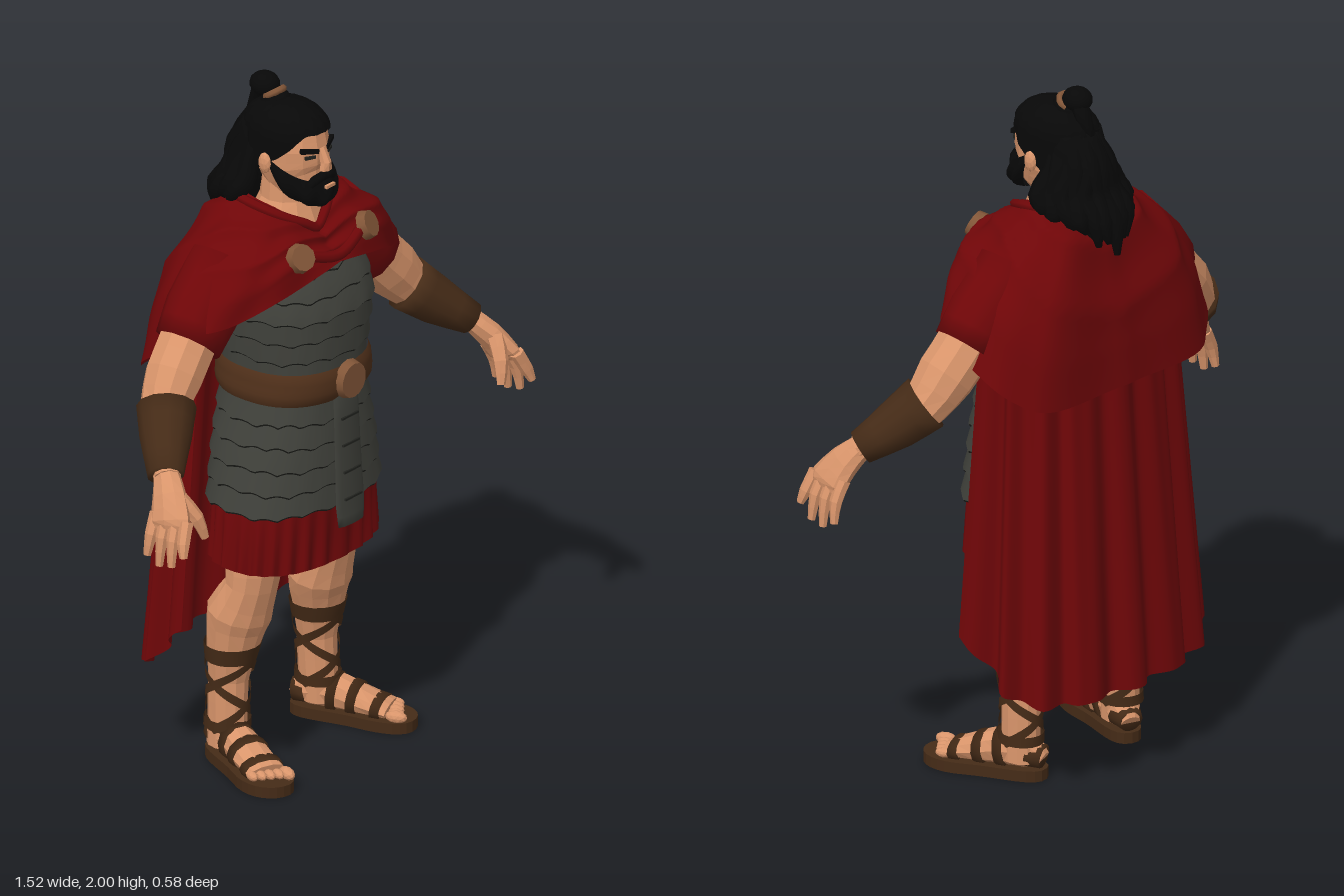
import * as THREE from 'three';
import { mergeVertices } from 'three/addons/utils/BufferGeometryUtils.js';

const V = (x, y, z) => new THREE.Vector3(x, y, z);
const { lerp } = THREE.MathUtils;
const TAU = Math.PI * 2;

function paint(name, color, side = THREE.FrontSide) {
  const m = new THREE.MeshStandardMaterial({ color, side });
  m.name = name;
  return m;
}

// Surface from fn(u, v): u runs to the right, v runs down, seen from outside
function surface(fn, nu, nv) {
  const pos = [], idx = [];
  for (let j = 0; j <= nv; j++) for (let i = 0; i <= nu; i++) pos.push(...fn(i / nu, j / nv).toArray());
  for (let j = 0; j < nv; j++) for (let i = 0; i < nu; i++) {
    const a = j * (nu + 1) + i, c = a + nu + 1;
    idx.push(a, c, a + 1, a + 1, c, c + 1);
  }
  let g = new THREE.BufferGeometry();
  g.setAttribute('position', new THREE.Float32BufferAttribute(pos, 3));
  g.setIndex(idx);
  g = mergeVertices(g, 1e-5);
  g.computeVertexNormals();
  return g;
}

// Capped elliptical tube through [x, y, z, radiusA, radiusB] stations
function tube(pts, sides = 10, sub = 2, ref = V(0, 0, 1)) {
  const curve = new THREE.CatmullRomCurve3(pts.map(p => V(p[0], p[1], p[2])));
  const n = pts.length - 1, rows = n * sub + 2;
  return surface((u, v) => {
    const j = Math.round(v * rows), t = THREE.MathUtils.clamp((j - 1) / (rows - 2), 0, 1);
    const k = Math.min(Math.floor(t * n), n - 1), f = t * n - k;
    const T = curve.getTangent(t), S = ref.clone().cross(T).normalize(), B = S.clone().cross(T);
    const open = j === 0 || j === rows ? 0 : 1, a = u * TAU;
    return curve.getPoint(t)
      .addScaledVector(S, open * Math.cos(a) * lerp(pts[k][3], pts[k + 1][3], f))
      .addScaledVector(B, open * Math.sin(a) * lerp(pts[k][4], pts[k + 1][4], f));
  }, sides, rows);
}

// Body outline: [y, half width, front z, back z]
const BODY = [
  [1.55, .15, .15, -.1], [1.46, .205, .215, -.13], [1.38, .215, .245, -.14], [1.28, .2, .238, -.13],
  [1.17, .182, .228, -.12], [1.08, .2, .23, -.125], [.95, .232, .235, -.13], [.78, .262, .238, -.13], [.6, .272, .235, -.13],
];
function bodyPoint(a, y, out = 0) {
  let k = 0;
  while (k < BODY.length - 2 && y < BODY[k + 1][0]) k++;
  const p = BODY[k], q = BODY[k + 1], f = (p[0] - y) / (p[0] - q[0]);
  const rx = lerp(p[1], q[1], f) + out, zf = lerp(p[2], q[2], f) + out, zb = lerp(p[3], q[3], f) - out;
  const soft = s => Math.sign(s) * Math.abs(s) ** .85;
  return V(rx * soft(Math.sin(a)), y, (zf + zb) / 2 + (zf - zb) / 2 * soft(Math.cos(a)));
}

export function createModel() {
  const skin = paint('skin', 0xd9956b);
  const red = paint('red cloth', 0x6f0608, THREE.DoubleSide);
  const hair = paint('black hair', 0x080808, THREE.DoubleSide);
  const armour = paint('grey scale armour', 0x3f403a, THREE.DoubleSide);
  const ink = paint('dark line', 0x22231f, THREE.DoubleSide);
  const belt = paint('belt leather', 0x50301a);
  const leather = paint('dark leather', 0x452b17, THREE.DoubleSide);
  const bronze = paint('bronze', 0x825638);

  const model = new THREE.Group();
  model.name = 'cloakedWarrior';
  const add = (name, geo, mat, mirrored = false) => {
    const g = geo.index ? geo : mergeVertices(geo);
    const put = (h, label) => {
      if (mat === skin) { h = h.toNonIndexed(); h.computeVertexNormals(); }
      const mesh = new THREE.Mesh(h, mat);
      mesh.name = label;
      model.add(mesh);
    };
    if (!mirrored) return put(g, name);
    const r = g.clone().applyMatrix4(new THREE.Matrix4().makeScale(-1, 1, 1));
    const ix = r.index.array;
    for (let i = 0; i < ix.length; i += 3) [ix[i], ix[i + 1]] = [ix[i + 1], ix[i]];
    put(g, name + 'Left');
    put(r, name + 'Right');
  };

  // Scale armour in overlapping rows with scalloped hems and a dark line below each
  const scaleRows = (name, top, bottom, count, scallops) => {
    const h = (top - bottom) / count;
    for (let r = 0; r < count; r++) {
      const y0 = top - r * h;
      const hem = a => y0 - h - .006 + .01 * Math.abs(Math.sin(a * scallops / 2 + r * 1.3)) + .003 * Math.sin(a * 5 + r);
      add(name, surface((u, v) => bodyPoint(u * TAU, lerp(y0, hem(u * TAU), v), .002 + .01 * v), 96, 2), armour);
      add(name + 'Line', surface((u, v) => bodyPoint(u * TAU, hem(u * TAU) - .006 * v, .012 - .005 * v), 96, 1), ink);
    }
  };
  scaleRows('chestScales', 1.55, 1.18, 6, 16);
  scaleRows('hipScales', 1.12, .795, 5, 18);
  add('hipFlap', tube([[0, 1.12, .238, .052, .012], [0, .95, .246, .055, .012], [0, .79, .254, .06, .012], [0, .73, .258, .054, .012]], 8), armour);
  for (const y of [1.05, .97, .89, .81]) add('hipFlapLine', new THREE.BoxGeometry(.07, .006, .006).translate(0, y, .27 - (y - .73) * .05), ink);
  add('belt', surface((u, v) => bodyPoint(u * TAU, 1.205 - .095 * v, .012 + .014 * Math.sin(Math.PI * v) ** .5), 40, 6), belt);
  add('buckle', new THREE.CylinderGeometry(.05, .057, .025, 14).rotateX(Math.PI / 2).translate(0, 1.16, .257), bronze);

  // Pleated tunic skirt
  add('tunicSkirt', surface((u, v) => {
    const a = u * TAU;
    return bodyPoint(a, .84 - .225 * v + .006 * Math.cos(a * 26), -.008 + .01 * v * Math.cos(a * 26));
  }, 156, 3), red);

  // Mantle: profiles from neck to hem at seven directions, front to back
  const mantleKeys = [
    [[0, 1.59, .13], [0, 1.56, .165], [0, 1.53, .195], [0, 1.505, .22]],
    [[.06, 1.625, .11], [.1, 1.6, .15], [.15, 1.555, .19], [.2, 1.465, .2]],
    [[.1, 1.66, .07], [.19, 1.61, .115], [.29, 1.53, .14], [.36, 1.4, .115]],
    [[.12, 1.68, .02], [.22, 1.625, .01], [.34, 1.53, .015], [.455, 1.37, .015]],
    [[.11, 1.69, -.04], [.22, 1.615, -.07], [.345, 1.475, -.1], [.42, 1.26, -.12]],
    [[.07, 1.69, -.08], [.16, 1.6, -.15], [.27, 1.42, -.2], [.325, 1.18, -.215]],
    [[0, 1.69, -.1], [0, 1.59, -.16], [0, 1.4, -.215], [0, 1.17, -.24]],
  ];
  const columns = [0, 1, 2, 3].map(c => new THREE.CatmullRomCurve3(mantleKeys.map(k => V(...k[c]))));
  const mantlePoint = (u, v) => {
    const t = u < .5 ? 2 * u : 2 - 2 * u;
    const p = new THREE.CatmullRomCurve3(columns.map(c => c.getPoint(t))).getPoint(v);
    const crease = 1 - 2 * Math.abs(Math.sin(v * 10 - t * 7));
    const fold = .009 * crease * Math.sin(Math.PI * Math.min(v * 1.2, 1)) + .005 * v * Math.sin(t * 38);
    p.addScaledVector(V(p.x, .12, p.z).normalize(), fold);
    if (u > .5) p.x *= -1;
    return p;
  };
  add('mantle', surface(mantlePoint, 110, 36), red);
  const collar = [];
  for (let i = 0; i < 20; i++) collar.push(mantlePoint(i / 20, .06));
  add('collarRoll', new THREE.TubeGeometry(new THREE.CatmullRomCurve3(collar, true), 60, .014, 7, true), red);
  const drape = new THREE.CatmullRomCurve3([V(-.14, 1.56, .19), V(0, 1.525, .215), V(.14, 1.56, .19)]);
  add('collarDrape', new THREE.TubeGeometry(drape, 16, .016, 7), red);
  add('shoulderClasp', new THREE.CylinderGeometry(.037, .043, .025, 10).rotateX(Math.PI / 2 - .45).rotateY(.3).translate(.143, 1.56, .2), bronze, true);

  // Long cape with deep folds, open in front
  add('cape', surface((u, v) => {
    const t = 1 - 2 * u, a = t * 1.6, y = lerp(1.42, .28 + .21 * Math.abs(t) ** 5, v);
    const f = 1 + .02 * Math.cos(t * 40) + (.03 + .03 * v) * Math.cos(t * 25 + .6 * Math.sin(t * 9));
    const s = Math.sin(a), c = Math.max(Math.cos(a), 0);
    return V(lerp(.32, .396, v) * Math.sign(s) * Math.abs(s) ** .85 * f, y, -lerp(.195, .27, v) * c ** .65 * f);
  }, 140, 14), red);

  // Legs
  const legPath = [[.14, .84, .04, .1, .1], [.16, .62, .045, .088, .08], [.168, .545, .045, .084, .068], [.173, .45, .005, .1, .088],
    [.183, .36, -.01, .077, .074], [.19, .25, -.02, .055, .057], [.195, .12, -.02, .05, .058], [.197, .05, -.02, .05, .06]];
  add('leg', tube(legPath, 12), skin, true);

  // Sandal straps winding round the shin
  const shin = (a, y, out) => {
    const k = legPath.findIndex(p => p[1] <= y), p = legPath[k - 1], q = legPath[k];
    const f = (p[1] - y) / (p[1] - q[1]), m = i => lerp(p[i], q[i], f);
    return V(m(0) + (m(3) + out) * Math.sin(a), y, m(2) + (m(4) + out) * Math.cos(a));
  };
  add('shinCuff', surface((u, v) => shin(u * TAU, .36 - .05 * v, .006), 18, 2), leather, true);
  add('ankleCuff', surface((u, v) => shin(u * TAU, .135 - .03 * v, .011), 18, 2), leather, true);
  for (const dir of [1, -1]) for (const start of [0, Math.PI]) {
    add('shinStrap', surface((u, v) => shin(start + dir * u * TAU * .75, .325 - .2 * u - .029 * v, .007), 36, 1), leather, true);
  }

  // Feet and sandals, turned outward
  const foot = (name, g, mat) => add(name, g.rotateY(.35).translate(.202, 0, 0), mat, true);
  const sole = new THREE.Shape();
  sole.moveTo(0, -.1);
  sole.bezierCurveTo(.07, -.1, .045, .02, .066, .12);
  sole.bezierCurveTo(.085, .2, .05, .268, -.01, .268);
  sole.bezierCurveTo(-.078, .268, -.073, .18, -.062, .12);
  sole.bezierCurveTo(-.04, .02, -.07, -.1, 0, -.1);
  foot('sole', new THREE.ExtrudeGeometry(sole, { depth: .032, bevelEnabled: false, curveSegments: 8 }).rotateX(Math.PI / 2).translate(0, .032, 0), leather);
  const up = V(0, 1, 0);
  foot('foot', tube([[0, .055, -.088, .03, .025], [0, .075, -.05, .046, .05], [0, .078, .03, .048, .055], [0, .064, .1, .056, .04], [0, .047, .19, .058, .02]], 10, 2, up), skin);
  for (let i = 0; i < 5; i++) {
    const r = i === 0 ? .02 : .015;
    foot('toe', new THREE.IcosahedronGeometry(r, 1).scale(.9, .9, 1.6).translate(-.046 + i * .023, .045, .222 - i * .008), skin);
  }
  for (const [y, z, a, b] of [[.077, .03, .054, .061], [.067, .09, .061, .049], [.052, .16, .063, .033]]) {
    foot('footStrap', tube([[0, y, z - .013, a, b], [0, y - .003, z + .013, a, b - .004]], 12, 1, up), leather);
  }
  foot('heelStrap', tube([[0, .065, -.09, .036, .034], [0, .07, -.05, .05, .036]], 12, 1, up), leather);

  // Arms, sleeves and bracers
  add('arm', tube([[.27, 1.5, -.01, .08, .08], [.38, 1.35, 0, .086, .082], [.46, 1.265, .01, .085, .082], [.53, 1.185, .03, .064, .068], [.6, 1.12, .09, .05, .05], [.66, 1.07, .15, .034, .038]], 10), skin, true);
  add('sleeve', tube([[.22, 1.52, -.01, .1, .1], [.32, 1.41, -.005, .11, .103], [.39, 1.33, 0, .1, .092]], 12), red, true);
  add('bracer', tube([[.518, 1.197, .03, .08, .084], [.58, 1.138, .078, .069, .073], [.658, 1.073, .142, .046, .052]], 12), leather, true);

  // Hands
  add('palm', tube([[.65, 1.08, .137, .032, .036], [.685, 1.03, .177, .034, .052], [.715, .975, .205, .03, .066], [.722, .955, .21, .02, .06]], 9), skin, true);
  for (let i = 0; i < 4; i++) {
    const z = .26 - i * .035, end = [.895, .858, .85, .87][i];
    add('finger', tube([[.71, .985, z, .021, .02], [.738, .93, z + .012 - i * .003, .019, .018], [.75, end, z + .022 - i * .008, .011, .011]], 7), skin, true);
  }
  add('thumb', tube([[.68, 1.03, .21, .024, .026], [.655, .975, .25, .021, .021], [.637, .915, .265, .012, .012]], 7), skin, true);

  // Neck and head
  add('neck', tube([[0, 1.74, .03, .07, .07], [0, 1.66, .03, .075, .075], [0, 1.6, .03, .11, .1], [0, 1.53, .03, .16, .12]], 12), skin);
  add('head', tube([[0, 1.91, .045, .045, .05], [0, 1.875, .045, .082, .105], [0, 1.82, .047, .093, .113], [0, 1.76, .052, .09, .108], [0, 1.7, .075, .068, .08], [0, 1.67, .085, .04, .05]], 14), skin);
  add('nose', tube([[0, 1.83, .152, .012, .012], [0, 1.79, .168, .015, .017], [0, 1.768, .168, .02, .015]], 7, 1), skin);
  add('ear', new THREE.IcosahedronGeometry(.028, 1).scale(.45, 1.1, .75).translate(.1, 1.785, .035), skin, true);
  add('eye', new THREE.BoxGeometry(.032, .009, .009).rotateY(.4).translate(.04, 1.811, .146), ink, true);
  add('brow', new THREE.BoxGeometry(.055, .013, .012).rotateZ(.16).rotateY(.4).translate(.042, 1.83, .145), hair, true);

  // Beard and moustache
  add('beard', surface((u, v) => {
    const a = (u - .5) * 3.3, side = 1 - Math.cos(a), b = Math.sin(Math.PI * v) ** .8;
    const top = V(.099 * Math.sin(a), 1.735 + .065 * side, .048 + .115 * Math.cos(a));
    const lump = b * (.036 + .006 * Math.sin(a * 9 + v * 5));
    return top.lerp(V(0, 1.652, .13), v).add(V(lump * Math.sin(a), -.018 * b, lump * Math.cos(a) * .9));
  }, 32, 8), hair);
  add('moustache', tube([[0, 1.752, .167, .012, .014], [.035, 1.742, .158, .014, .014], [.065, 1.705, .135, .006, .008]], 7), hair, true);
  add('lip', new THREE.BoxGeometry(.036, .009, .009).translate(0, 1.724, .183), skin);

  // Hair cap with a high hairline in front and temples covered
  add('hairCap', surface((u, v) => {
    const a = u * TAU, c = Math.cos(a), low = c > 0 ? lerp(1.79, 1.876, Math.min(c * 1.2, 1) ** 1.7) : lerp(1.79, 1.7, -c);
    const y = 1.945 - (1.945 - low) * v ** 1.4, p = Math.min((1.945 - y) / .085, 1);
    const r = Math.sqrt(1 - (1 - p) ** 2) * (1 + .014 * Math.sin(a * 18));
    return V(.1 * r * Math.sin(a), y, .035 + (c > 0 ? .127 : .14) * r * c);
  }, 72, 12), hair);

  // Long wavy locks down the back, spreading at the sides below the ears
  add('hairMass', tube([[0, 1.87, -.04, .08, .06], [0, 1.76, -.06, .1, .07], [0, 1.66, -.1, .11, .06], [0, 1.58, -.16, .06, .03]], 12), hair);
  for (let i = -6; i <= 6; i++) {
    const k = i / 6, e = Math.abs(k), a = k * 1.4, s = Math.sin(a), c = Math.cos(a), w = i % 2 ? .014 : -.01;
    add('lock', tube([[s * .06, 1.87 - .05 * e, -.01 - .07 * c, .028, .028], [s * .085 + w * .4, 1.79 - .02 * e, -.01 - .118 * c, .03, .03],
      [s * .122 - w * .5, 1.71, -.005 - .13 * c, .034, .034], [s * .134 + w * .4, 1.64 + .04 * e, -.02 - .165 * c, .03, .028],
      [s * .115, 1.555 + .1 * e + w, -.015 - .185 * c, .009, .009]], 7, 3), hair);
  }

  // Topknot
  add('topknotBase', tube([[0, 1.955, -.025, .026, .03], [0, 1.9, 0, .05, .06]], 10), hair);
  add('topknotTie', new THREE.TorusGeometry(.026, .011, 6, 14).rotateX(Math.PI / 2 - .6).translate(0, 1.947, -.013), bronze);
  add('topknot', new THREE.IcosahedronGeometry(.037, 2).scale(1.08, .95, 1.2).translate(0, 1.965, -.048), hair);
  add('topknotTail', tube([[0, 1.965, -.05, .028, .028], [.01, 1.925, -.08, .025, .022], [0, 1.87, -.1, .012, .012]], 7), hair);
  return model;
}
